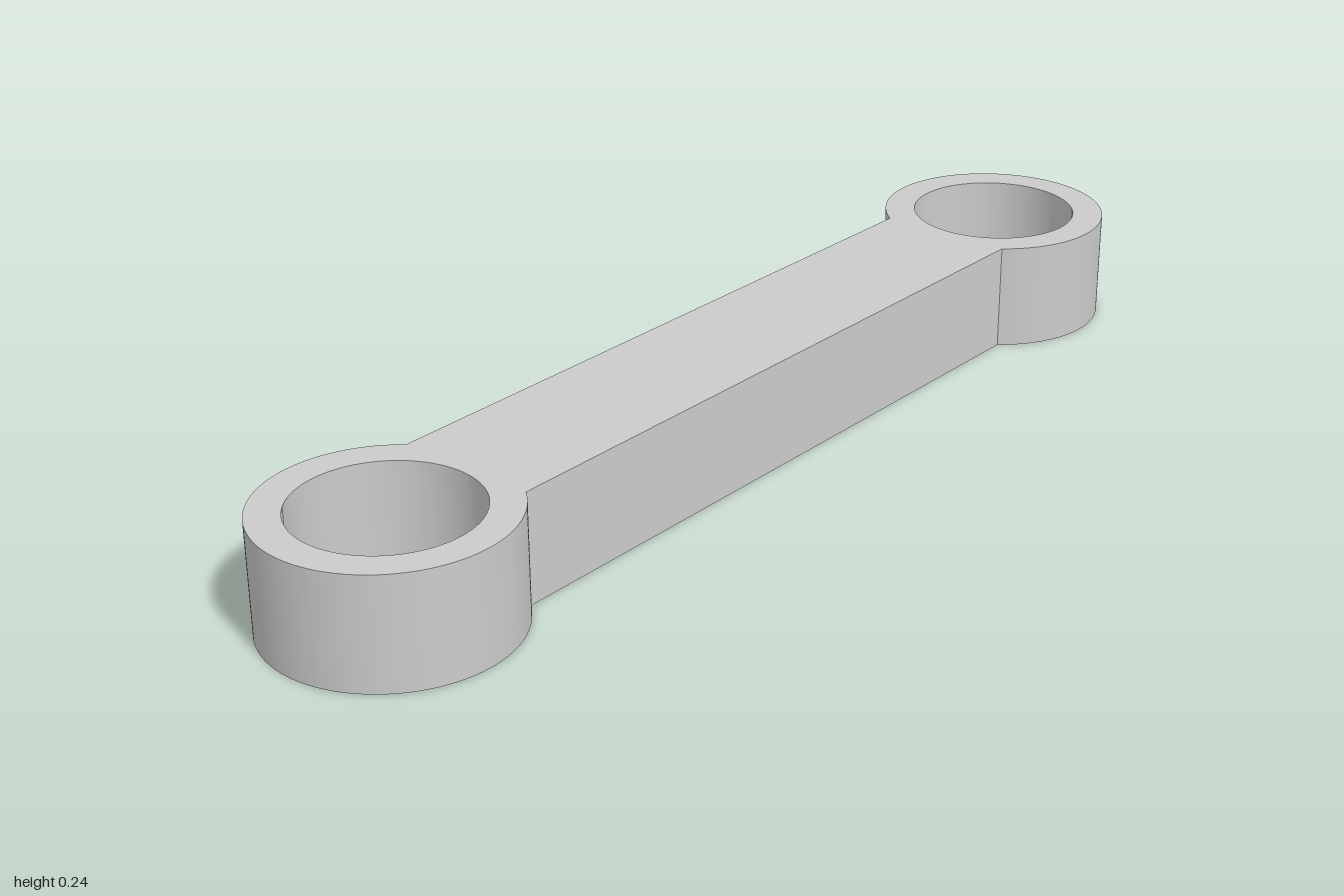
import * as THREE from 'three';
import { toCreasedNormals } from 'three/addons/utils/BufferGeometryUtils.js';

const HEIGHT = 0.24;
const RING_X = 0.743, RING_Z = 0.658; // ring centres, mirrored through the origin
const OUTER_R = 0.257, HOLE_R = 0.188;
const ARM_HALF_WIDTH = 0.158;

export function createModel() {
  const group = new THREE.Group();
  group.name = 'connectingLink';

  // Outline along local x: an arc at each end, joined by the arm's straight sides
  const reach = Math.hypot(RING_X, RING_Z);
  const neck = Math.asin(ARM_HALF_WIDTH / OUTER_R);
  const outline = new THREE.Shape();
  outline.absarc(reach, 0, OUTER_R, neck - Math.PI, Math.PI - neck, false);
  outline.absarc(-reach, 0, OUTER_R, neck, 2 * Math.PI - neck, false);
  outline.closePath();

  // Round through holes
  for (const side of [-1, 1]) {
    const hole = new THREE.Path();
    hole.absarc(side * reach, 0, HOLE_R, 0, 2 * Math.PI, true);
    outline.holes.push(hole);
  }

  const geometry = new THREE.ExtrudeGeometry(outline, {
    depth: HEIGHT, bevelEnabled: false, curveSegments: 64,
  });
  // Turn the arm to its diagonal, then lay it flat on the ground
  geometry.rotateZ(Math.atan2(RING_Z, RING_X));
  geometry.rotateX(-Math.PI / 2);

  const link = new THREE.Mesh(
    toCreasedNormals(geometry, Math.PI / 6),
    new THREE.MeshStandardMaterial({ color: 0xcccccc }),
  );
  link.name = 'linkArmWithEndRings';
  group.add(link);
  return group;
}
